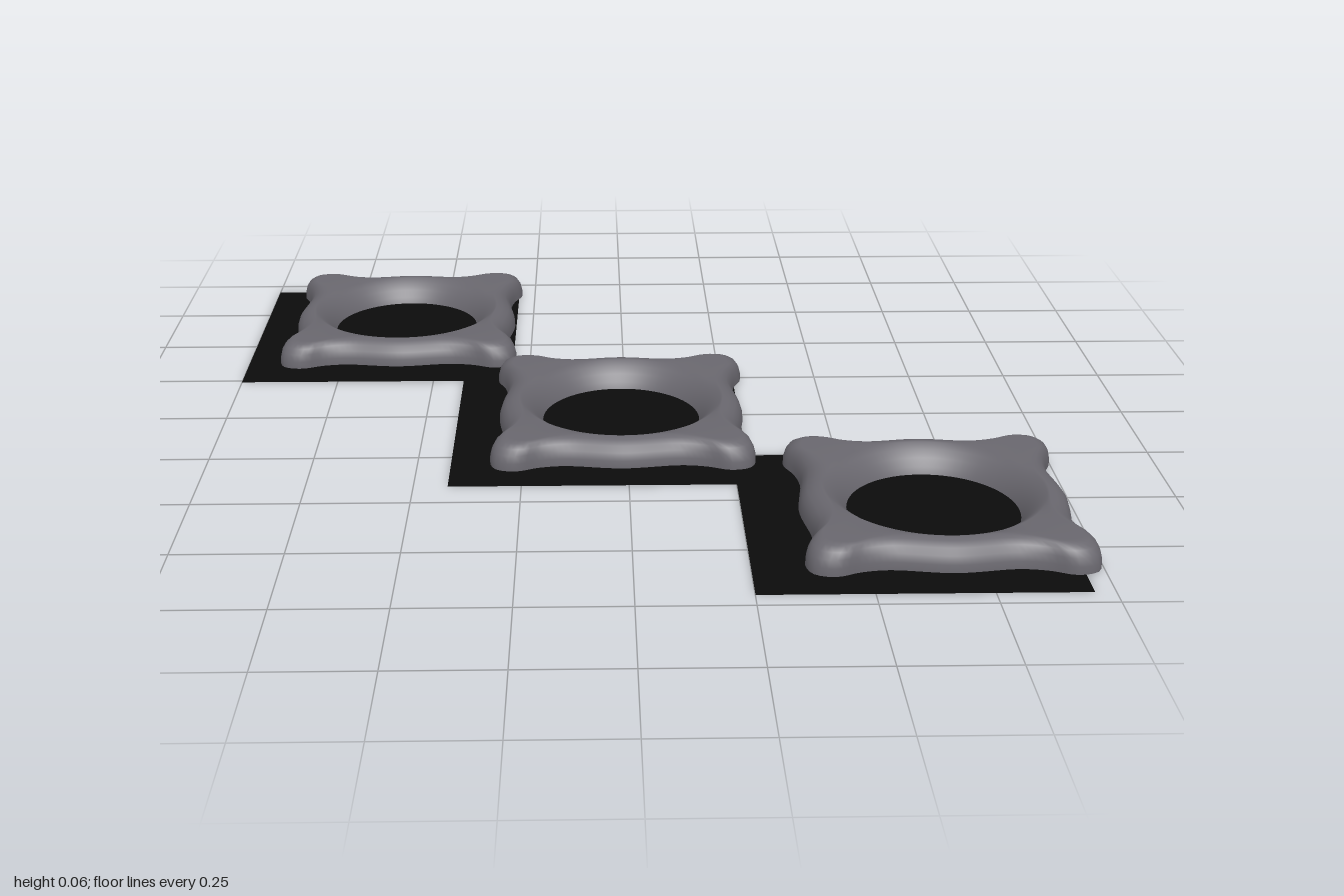
import * as THREE from 'three';

const frameMat = new THREE.MeshStandardMaterial({ color: 0x69676e });
frameMat.name = 'stone grey';
const plateMat = new THREE.MeshStandardMaterial({ color: 0x0b0b0b, side: THREE.DoubleSide });
plateMat.name = 'black';

const HOLE = 0.195;

// Wavy square outline with a rounded knob at each corner
function outline(count) {
  const side = [
    [0.296, -0.2], [0.287, -0.14], [0.303, 0], [0.287, 0.14], [0.296, 0.2],
    [0.316, 0.255], [0.302, 0.302], [0.255, 0.316],
  ];
  const pts = [];
  for (let k = 0; k < 4; k++) {
    for (const [x, z] of side) {
      const [a, b] = [[x, z], [-z, x], [-x, -z], [z, -x]][k];
      pts.push(new THREE.Vector3(a, 0, b));
    }
  }
  return new THREE.CatmullRomCurve3(pts, true).getSpacedPoints(count).slice(0, count);
}

// Cushioned ring: a round hole blending into the wavy outline
function frameGeometry() {
  const count = 160;
  // [from the hole outwards, height] and [from the outline inwards, height]
  const inner = [[0, 0.002], [0.007, 0.018], [0.02, 0.036], [0.035, 0.052], [0.052, 0.063]];
  const outer = [[0.05, 0.065], [0.034, 0.061], [0.018, 0.052], [0.007, 0.038], [0.001, 0.02], [0, 0.002]];
  const pos = [];
  const index = [];
  const rim = outline(count);
  for (const p of rim) {
    const r = p.length();
    const rows = [
      ...inner.map(([d, y]) => [HOLE + d, y]),
      ...outer.map(([d, y]) => [r - d, y]),
      [r, 0.002], [HOLE, 0.002], // flat underside, with its own sharp edges
    ];
    for (const [d, y] of rows) pos.push((p.x / r) * d, y, (p.z / r) * d);
  }
  const n = inner.length + outer.length + 2;
  for (let i = 0; i < count; i++) {
    for (let j = 0; j < n - 1; j++) {
      const a = i * n + j;
      const b = ((i + 1) % count) * n + j;
      index.push(a, b, a + 1, b, b + 1, a + 1);
    }
  }
  const g = new THREE.BufferGeometry();
  g.setAttribute('position', new THREE.Float32BufferAttribute(pos, 3));
  g.setIndex(index);
  g.computeVertexNormals();
  return g;
}

export function createModel() {
  const model = new THREE.Group();
  model.name = 'threeTiles';
  const frameGeo = frameGeometry();
  const plateGeo = new THREE.PlaneGeometry(0.705, 0.705).rotateX(-Math.PI / 2);

  // Plate centre and frame centre of each tile, as x, z
  const tiles = [
    { name: 'backTile', plate: [-0.648, -0.593], frame: [-0.602, -0.645] },
    { name: 'middleTile', plate: [-0.068, 0.062], frame: [-0.012, 0.022] },
    { name: 'frontTile', plate: [0.603, 0.603], frame: [0.682, 0.567] },
  ];
  for (const t of tiles) {
    const tile = new THREE.Group();
    tile.name = t.name;
    const plate = new THREE.Mesh(plateGeo, plateMat);
    plate.name = 'basePlate';
    plate.position.set(t.plate[0], 0, t.plate[1]);
    const frame = new THREE.Mesh(frameGeo, frameMat);
    frame.name = 'cushionedFrame';
    frame.position.set(t.frame[0], 0, t.frame[1]);
    tile.add(plate, frame);
    model.add(tile);
  }
  return model;
}
